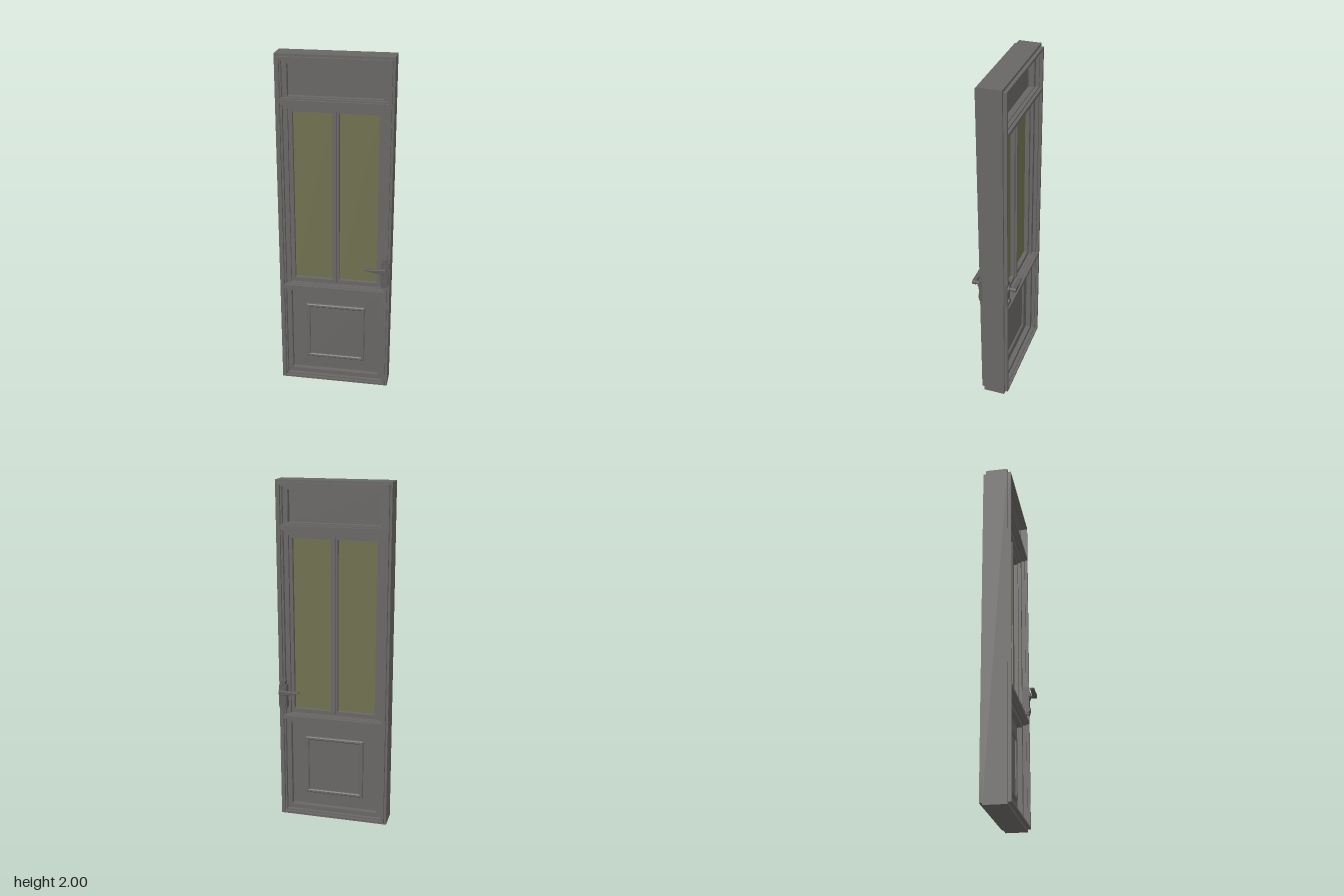
import * as THREE from 'three';

export function createModel() {
  const door = new THREE.Group();
  const wood = new THREE.MeshStandardMaterial({ color: 0x696765 });
  wood.name = 'grey wood';
  const glass = new THREE.MeshStandardMaterial({ color: 0x70714f });
  glass.name = 'olive glass';
  const metal = new THREE.MeshStandardMaterial({ color: 0x5f5d5c });
  metal.name = 'dark metal';

  const add = (name, geometry, material, x = 0, y = 0, z = 0, parent = door) => {
    const mesh = new THREE.Mesh(geometry, material);
    mesh.name = name;
    mesh.position.set(x, y, z);
    parent.add(mesh);
    return mesh;
  };

  // Rectangles are [x0, y0, x1, y1]; frames run through both faces of the door
  const trace = (path, [x0, y0, x1, y1]) => {
    path.moveTo(x0, y0);
    path.lineTo(x1, y0);
    path.lineTo(x1, y1);
    path.lineTo(x0, y1);
    path.closePath();
    return path;
  };
  const frame = (name, outer, holes, halfDepth, bevel = 0) => {
    const shape = trace(new THREE.Shape(), outer);
    holes.forEach(h => shape.holes.push(trace(new THREE.Path(), h)));
    const depth = 2 * (halfDepth - bevel);
    const geometry = new THREE.ExtrudeGeometry(shape, {
      depth, bevelEnabled: bevel > 0, bevelThickness: bevel,
      bevelSize: bevel, bevelOffset: -bevel, bevelSegments: 1,
    });
    geometry.translate(0, 0, -depth / 2);
    return add(name, geometry, wood);
  };
  const slab = (name, [x0, y0, x1, y1], halfDepth, material) =>
    add(name, new THREE.BoxGeometry(x1 - x0, y1 - y0, 2 * halfDepth), material,
      (x0 + x1) / 2, (y0 + y1) / 2);
  const inset = ([x0, y0, x1, y1], d) => [x0 + d, y0 + d, x1 - d, y1 - d];

  // Outer casing and the raised moulding with its two cross rails
  const casing = [-0.323, 0, 0.323, 2];
  const edge = [-0.31, 0.014, 0.31, 1.986];
  const bays = [
    [-0.295, 0.025, 0.295, 0.625],
    [-0.295, 0.645, 0.295, 1.735],
    [-0.295, 1.755, 0.295, 1.972],
  ];
  frame('casing', casing, [edge], 0.063);
  frame('raisedMoulding', edge, bays, 0.082);

  // Stepped stiles around each bay
  const openings = [
    [-0.26, 0.06, 0.26, 0.595],
    [-0.26, 0.65, 0.26, 1.70],
    [-0.26, 1.768, 0.26, 1.945],
  ];
  bays.forEach((bay, i) => {
    const step = i === 1 ? [-0.285, 0.648, 0.285, 1.725] : inset(bay, 0.008);
    frame('innerMoulding', bay, [step], 0.066);
    frame('stile', step, [openings[i]], 0.045);
  });

  // Solid panels at the bottom and the top
  slab('lowerPanel', openings[0], 0.016, wood);
  slab('upperPanel', openings[2], 0.012, wood);
  const field = [-0.172, 0.14, 0.176, 0.502];
  frame('panelMoulding', field, [inset(field, 0.02)], 0.032, 0.005);
  slab('panelField', inset(field, 0.015), 0.021, wood);

  // Window sash with two panes and a centre bar
  const panes = [
    [-0.238, 0.675, -0.018, 1.68],
    [0.022, 0.675, 0.242, 1.68],
  ];
  frame('windowSash', openings[1], panes, 0.028);
  slab('centreBar', [-0.006, 0.66, 0.01, 1.695], 0.038, wood);
  panes.forEach(p => slab('windowPane', p, 0.004, glass));

  // Handle set on each face
  for (const s of [1, -1]) {
    const set = new THREE.Group();
    set.name = s > 0 ? 'frontHandle' : 'backHandle';
    const part = (name, w, h, d, x, y, z) =>
      add(name, new THREE.BoxGeometry(w, h, d), metal, x, y, s * z, set);
    const round = (name, r, d, x, y, z) =>
      add(name, new THREE.CylinderGeometry(r, r, d, 20).rotateX(Math.PI / 2),
        metal, x, y, s * z, set);
    part('backPlate', 0.046, 0.14, 0.042, 0.296, 0.762, 0.064);
    part('plateTop', 0.028, 0.024, 0.042, 0.296, 0.843, 0.064);
    part('plateBottom', 0.034, 0.014, 0.042, 0.296, 0.686, 0.064);
    round('rosette', 0.023, 0.012, 0.295, 0.798, 0.086);
    round('spindle', 0.011, 0.03, 0.295, 0.798, 0.1);
    round('keyCylinder', 0.017, 0.012, 0.295, 0.709, 0.086);

    // Tapered lever pointing to the middle of the door
    const outline = new THREE.Shape();
    outline.moveTo(0.309, 0.798);
    outline.quadraticCurveTo(0.309, 0.812, 0.294, 0.812);
    outline.quadraticCurveTo(0.25, 0.806, 0.187, 0.81);
    outline.quadraticCurveTo(0.184, 0.803, 0.19, 0.8);
    outline.quadraticCurveTo(0.25, 0.787, 0.294, 0.784);
    outline.quadraticCurveTo(0.309, 0.784, 0.309, 0.798);
    const lever = new THREE.ExtrudeGeometry(outline, {
      depth: 0.018, bevelThickness: 0.003, bevelSize: 0.003,
      bevelOffset: -0.003, bevelSegments: 2, curveSegments: 6,
    });
    lever.translate(0, 0, -0.009);
    add('lever', lever, metal, 0, 0, s * 0.118, set);
    door.add(set);
  }

  door.children.forEach(c => { c.position.z -= 0.002; });
  return door;
}
